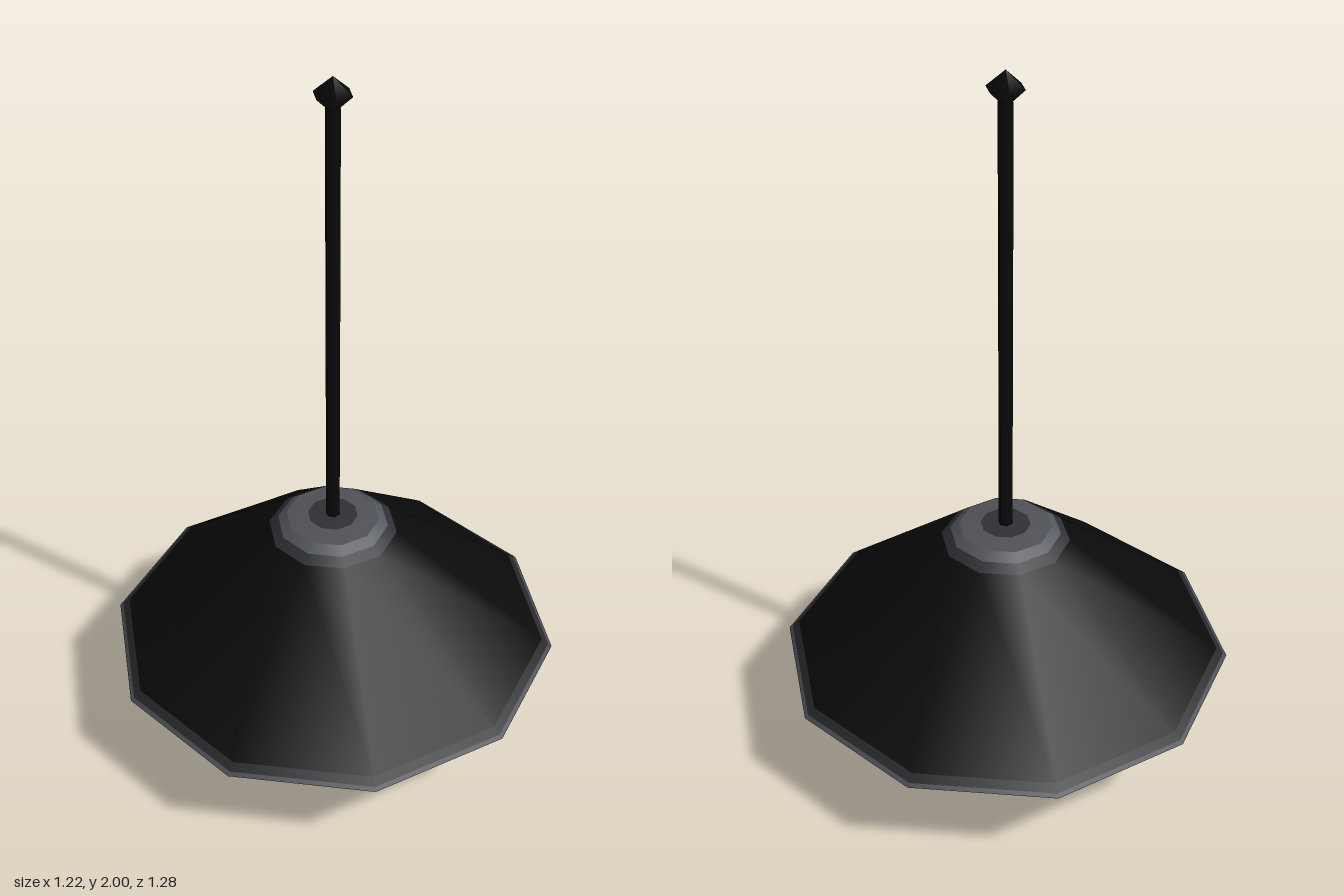
import * as THREE from 'three';

const paint = (color, side = THREE.FrontSide) => new THREE.MeshStandardMaterial({ color, side });
const BLACK = 0x0a0a0a;

function add(parent, name, geometry, material) {
  const mesh = new THREE.Mesh(geometry, material);
  mesh.name = name;
  parent.add(mesh);
  return mesh;
}

// Profile points are [radius, height], listed from bottom to top
const lathe = (points, sides) =>
  new THREE.LatheGeometry(points.map(([r, y]) => new THREE.Vector2(r, y)), sides);

// Straight segments joined into one path
function polyline(points) {
  const path = new THREE.CurvePath();
  for (let i = 1; i < points.length; i++) path.add(new THREE.LineCurve3(points[i - 1], points[i]));
  return path;
}

export function createModel() {
  const group = new THREE.Group();
  const black = paint(BLACK);

  // Ten-sided shade, built as bands that lighten towards the worn edges
  const shade = new THREE.Group();
  shade.name = 'shade';
  group.add(shade);
  const bands = [
    ['shadeRim', 0x4c4e54, [0.64, 0.26], [0.63, 0.268]],
    ['shadeRimFade', 0x28292c, [0.63, 0.268], [0.61, 0.285]],
    ['shadeCone', BLACK, [0.61, 0.285], [0.18, 0.641]],
    ['shadeShoulderFade', 0x303136, [0.18, 0.641], [0.155, 0.662]],
    ['shadeShoulder', 0x55585f, [0.155, 0.662], [0.13, 0.682]],
    ['shadeCrown', 0x505258, [0.13, 0.682], [0.07, 0.688]],
    ['shadeCrownCentre', 0x303136, [0.07, 0.688], [0, 0.692]],
  ];
  for (const [name, color, low, high] of bands) {
    add(shade, name, lathe([low, high], 10), paint(color, THREE.DoubleSide));
  }

  // Hanging rod and diamond finial, both six-sided
  add(group, 'rod', lathe([[0, 0.66], [0.02, 0.66], [0.02, 1.92], [0, 1.92]], 6), black);
  add(group, 'finial', lathe([[0, 1.905], [0.05, 1.955], [0, 2]], 6), black);

  // Bulb tucked under the shade
  const bulb = add(group, 'bulb', new THREE.SphereGeometry(0.24, 16, 10), black);
  bulb.position.y = 0.29;

  // Guard cage: four bent wires on the diagonals, meeting below the bulb
  const cage = new THREE.Group();
  cage.name = 'guardCage';
  group.add(cage);
  const profile = [[0, 0.012], [0.27, 0.13], [0.33, 0.26], [0.41, 0.435]];
  const wire = new THREE.TubeGeometry(
    polyline(profile.map(([r, y]) => new THREE.Vector3(r, y, 0))), 24, 0.01, 6);
  for (let i = 0; i < 4; i++) {
    add(cage, 'guardWire', wire, black).rotation.y = Math.PI / 4 + i * Math.PI / 2;
  }

  // Ring tying the wires together inside the shade
  const ring = add(cage, 'guardRing', new THREE.TorusGeometry(0.36, 0.01, 6, 8), black);
  ring.rotation.x = Math.PI / 2;
  ring.position.y = 0.33;

  return group;
}
